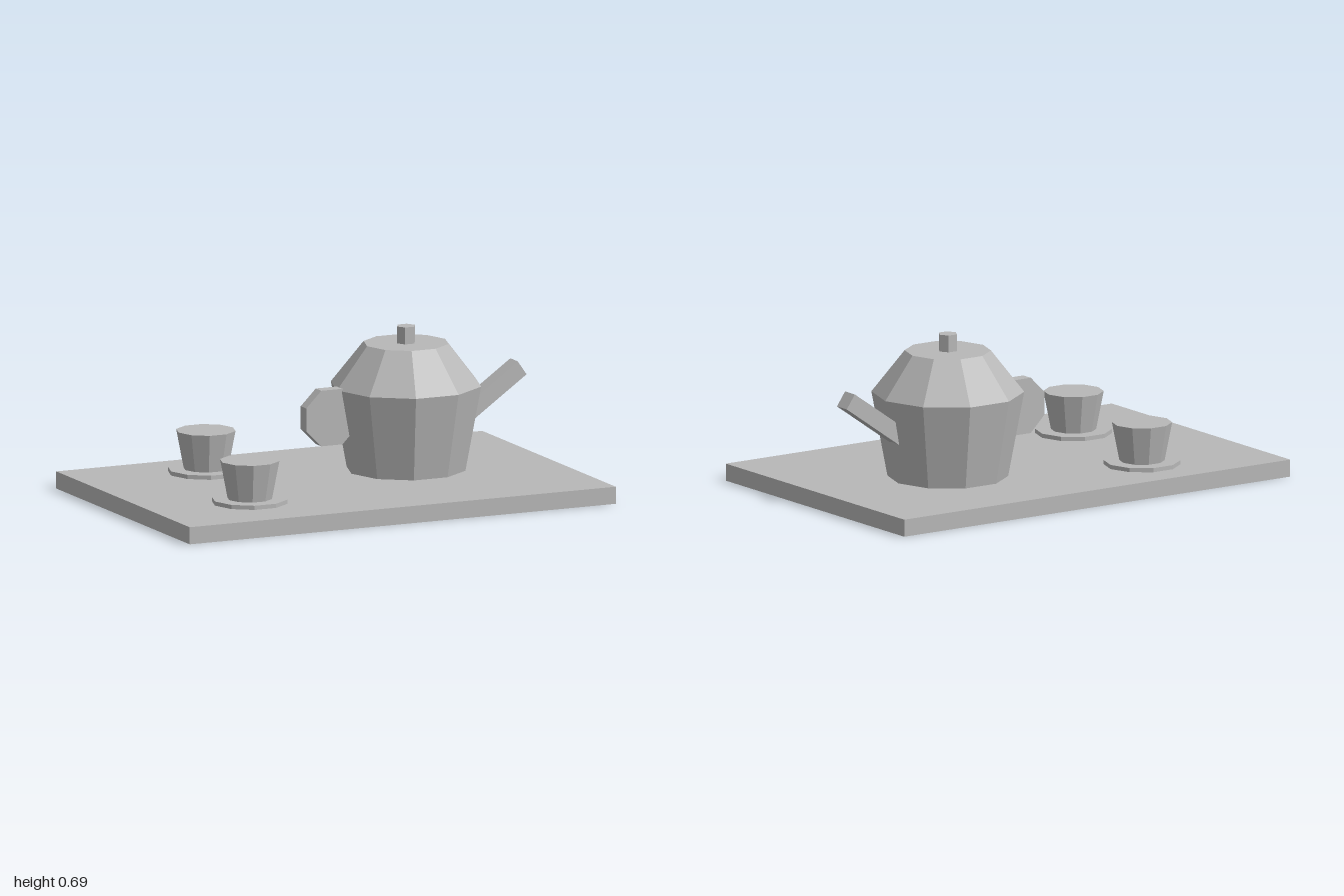
import * as THREE from 'three';

export function createModel() {
  const model = new THREE.Group();
  model.name = 'teaSet';
  const clay = new THREE.MeshStandardMaterial({ color: 0xb8b8b8 });
  clay.name = 'plain grey';
  clay.flatShading = true;

  function add(parent, name, geometry, x, y, z) {
    const mesh = new THREE.Mesh(geometry, clay);
    mesh.name = name;
    mesh.position.set(x, y, z);
    parent.add(mesh);
    return mesh;
  }

  // Upright faceted prism or frustum with a corner pointing to +x
  function prism(parent, name, rTop, rBottom, y0, y1, sides) {
    const g = new THREE.CylinderGeometry(rTop, rBottom, y1 - y0, sides);
    g.rotateY(Math.PI / 2);
    return add(parent, name, g, 0, (y0 + y1) / 2, 0);
  }

  // Tray
  const trayTop = 0.074;
  add(model, 'tray', new THREE.BoxGeometry(2, trayTop, 1.314), 0, trayTop / 2, 0);

  // Teapot
  const teapot = new THREE.Group();
  teapot.name = 'teapot';
  teapot.position.set(0.364, 0, -0.074);
  model.add(teapot);
  prism(teapot, 'potBody', 0.324, 0.256, trayTop, 0.44, 10);
  prism(teapot, 'potLid', 0.183, 0.324, 0.44, 0.619, 10);
  prism(teapot, 'lidKnob', 0.042, 0.042, 0.619, 0.692, 6);

  // Slanted square spout, its root hidden in the body
  const tilt = THREE.MathUtils.degToRad(35);
  const length = 0.36;
  const spout = add(teapot, 'spout', new THREE.BoxGeometry(length, 0.073, 0.072),
    0.528 - Math.cos(tilt) * length / 2, 0.47 - Math.sin(tilt) * length / 2, 0);
  spout.rotation.z = tilt;

  // Solid octagonal handle, flat sides up and down
  const handle = new THREE.CylinderGeometry(0.13, 0.13, 0.055, 8);
  handle.rotateY(Math.PI / 8);
  handle.rotateX(Math.PI / 2);
  add(teapot, 'handle', handle, -0.361, 0.331, 0);

  // Two cups on saucers
  for (const [x, z] of [[-0.436, -0.367], [-0.543, 0.289]]) {
    const set = new THREE.Group();
    set.name = 'cupAndSaucer';
    set.position.set(x, 0, z);
    model.add(set);
    prism(set, 'saucer', 0.163, 0.163, trayTop, 0.092, 10);
    prism(set, 'cup', 0.128, 0.096, 0.092, 0.257, 10);
  }

  return model;
}
